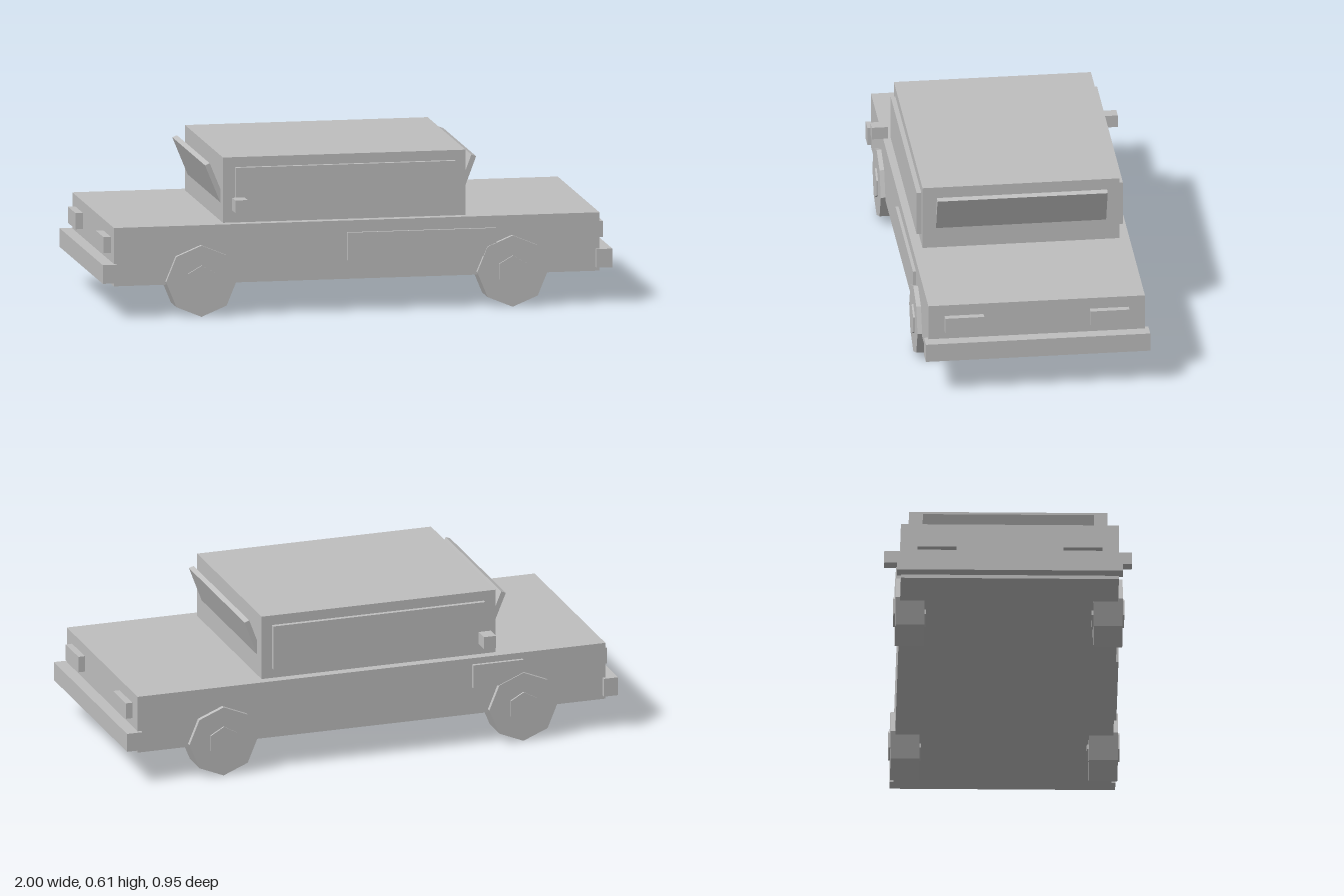
import * as THREE from 'three';

export function createModel() {
  const car = new THREE.Group();
  car.name = 'car';
  const paint = new THREE.MeshStandardMaterial({ color: 0xbfbfbf, flatShading: true });
  paint.name = 'plain grey';

  const add = (name, geometry, x, y, z) => {
    const mesh = new THREE.Mesh(geometry, paint);
    mesh.name = name;
    mesh.position.set(x, y, z);
    car.add(mesh);
    return mesh;
  };
  // Box given by its extents along each axis
  const box = (name, x0, x1, y0, y1, z0, z1) =>
    add(name, new THREE.BoxGeometry(x1 - x0, y1 - y0, z1 - z0),
      (x0 + x1) / 2, (y0 + y1) / 2, (z0 + z1) / 2);

  // Body and cabin
  box('body', -0.953, 0.952, 0.13, 0.358, -0.42, 0.42);
  box('cabin', -0.518, 0.434, 0.35, 0.613, -0.382, 0.382);

  // Outward-leaning end windows
  const pane = new THREE.BoxGeometry(0.02, 0.2, 0.66);
  add('frontWindow', pane, -0.531, 0.487, 0).rotation.z = 0.39;
  add('rearWindow', pane, 0.441, 0.487, 0).rotation.z = -0.36;

  // Bumpers
  box('frontBumper', -1, -0.942, 0.144, 0.217, -0.435, 0.435);
  box('rearBumper', 0.937, 1, 0.144, 0.217, -0.435, 0.435);

  // Parts mirrored on both sides
  const tyre = new THREE.CylinderGeometry(0.139, 0.139, 0.112, 8).rotateX(Math.PI / 2);
  const hub = new THREE.CylinderGeometry(0.062, 0.062, 0.126, 6).rotateX(Math.PI / 2);
  for (const s of [1, -1]) {
    const pair = (name, x0, x1, y0, y1, z0, z1) =>
      box(name, x0, x1, y0, y1, Math.min(s * z0, s * z1), Math.max(s * z0, s * z1));
    pair('sideWindow', -0.47, 0.392, 0.398, 0.574, 0.37, 0.4);
    pair('mirror', -0.488, -0.439, 0.411, 0.46, 0.414, 0.477);
    pair('headlight', -0.982, -0.94, 0.25, 0.313, 0.206, 0.357);
    pair('tailLight', 0.94, 0.978, 0.25, 0.313, 0.206, 0.357);
    for (const x of [-0.613, 0.608]) {
      add('tyre', tyre, x, 0.142, s * 0.382);
      add('hub', hub, x, 0.142, s * 0.382);
    }
  }

  // Unequal side panels
  box('longSidePanel', -0.038, 0.545, 0.204, 0.312, 0.41, 0.432);
  box('shortSidePanel', -0.615, -0.41, 0.24, 0.333, -0.434, -0.41);

  return car;
}
